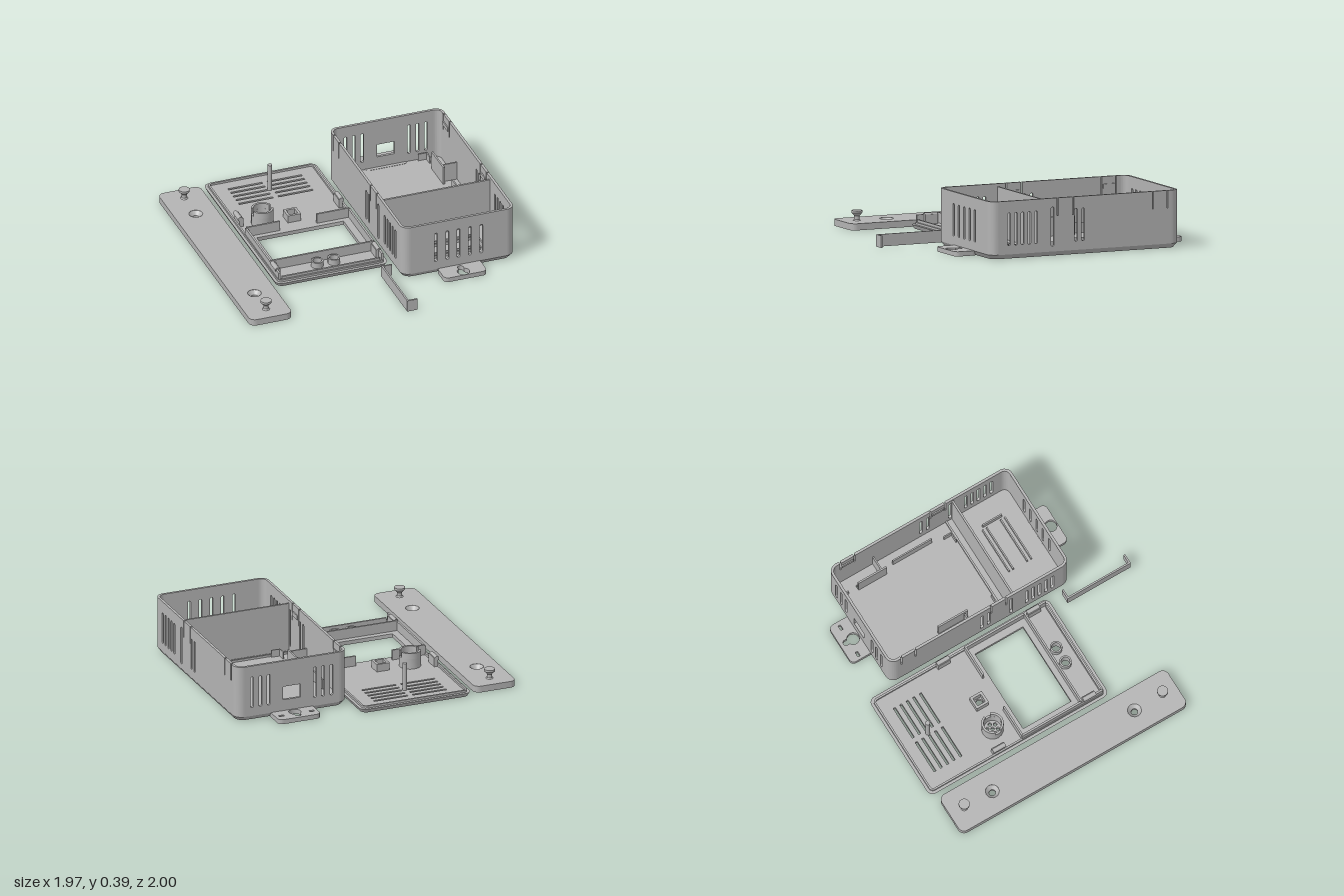
import * as THREE from 'three';
import { toCreasedNormals } from 'three/addons/utils/BufferGeometryUtils.js';

const grey = new THREE.MeshStandardMaterial({ color: 0xb3b3b3 });
grey.name = 'greyPlastic';

function add(group, name, geometry) {
  const mesh = new THREE.Mesh(geometry, grey);
  mesh.name = name;
  group.add(mesh);
  return mesh;
}

// Axis-aligned block given by its limits
function block(group, name, x0, x1, y0, y1, z0, z1) {
  const g = new THREE.BoxGeometry(x1 - x0, y1 - y0, z1 - z0);
  add(group, name, g.translate((x0 + x1) / 2, (y0 + y1) / 2, (z0 + z1) / 2));
}

// Rounded rectangle outline; works for shapes and holes
function rounded(a0, a1, b0, b1, r, Type = THREE.Shape) {
  const s = new Type();
  s.absarc(a1 - r, b0 + r, r, -Math.PI / 2, 0);
  s.absarc(a1 - r, b1 - r, r, 0, Math.PI / 2);
  s.absarc(a0 + r, b1 - r, r, Math.PI / 2, Math.PI);
  s.absarc(a0 + r, b0 + r, r, Math.PI, Math.PI * 1.5);
  s.closePath();
  return s;
}
const slotHole = (a0, a1, b0, b1, r = 0.003) => rounded(a0, a1, b0, b1, r, THREE.Path);
const roundHole = (x, z, r) => new THREE.Path().absarc(x, z, r, 0, Math.PI * 2);

// Round hole with a narrow neck towards -z
function keyhole(x, z, r, n, length) {
  const o = Math.asin(n / r);
  const p = new THREE.Path();
  p.absarc(x, z, r, -Math.PI / 2 + o, Math.PI * 1.5 - o);
  p.absarc(x, z - length, n, Math.PI, Math.PI * 2);
  p.closePath();
  return p;
}

// Plan outline (x, z) raised from y0 to y1
function slab(shape, y0, y1, holes = []) {
  shape.holes.push(...holes);
  const g = new THREE.ExtrudeGeometry(shape, { depth: y1 - y0, bevelEnabled: false, curveSegments: 8 });
  return g.rotateX(Math.PI / 2).translate(0, y1, 0);
}

// Draw in the lower outer edge of a slab
function chamferBottom(g, amount) {
  g.computeBoundingBox();
  const c = g.boundingBox.getCenter(new THREE.Vector3());
  const h = g.boundingBox.getSize(new THREE.Vector3()).multiplyScalar(0.5);
  const p = g.attributes.position;
  for (let i = 0; i < p.count; i++) {
    const dx = p.getX(i) - c.x, dz = p.getZ(i) - c.z;
    const outer = Math.abs(dx) > h.x - 0.07 && Math.abs(dz) > h.z - 0.07 ||
      Math.abs(dx) > h.x - 0.01 || Math.abs(dz) > h.z - 0.01;
    if (p.getY(i) < 0.002 && outer) {
      p.setX(i, c.x + dx * (1 - amount / h.x));
      p.setZ(i, c.z + dz * (1 - amount / h.z));
    }
  }
  g.computeVertexNormals();
  return g;
}
const smooth = (g) => toCreasedNormals(g, 0.6);

function lathe(points, x, z) {
  const g = new THREE.LatheGeometry(points.map((p) => new THREE.Vector2(...p)), 28);
  return smooth(g.translate(x, 0, z));
}

function arcShape(x, z, r0, r1, a0, a1) {
  const s = new THREE.Shape();
  s.absarc(x, z, r1, a0, a1);
  s.absarc(x, z, r0, a1, a0, true);
  s.closePath();
  return s;
}

function mountingBar() {
  const g = new THREE.Group();
  g.name = 'mountingBar';
  const x = -0.84, sinks = [-0.63, 0.48];
  add(g, 'barPlate', smooth(slab(rounded(-0.99, -0.69, -0.96, 0.81, 0.045), 0, 0.045,
    sinks.map((z) => roundHole(x, z, 0.047)))));
  for (const z of sinks) {
    add(g, 'countersink', lathe([[0.048, 0.045], [0.022, 0.018], [0.022, 0], [0.048, 0]], x, z));
  }
  for (const z of [-0.85, 0.7]) {
    add(g, 'hangingStud', lathe([[0.026, 0.044], [0.018, 0.053], [0.018, 0.077],
      [0.037, 0.098], [0.037, 0.113], [0, 0.113]], x, z));
  }
  return g;
}

function frontPanel() {
  const g = new THREE.Group();
  g.name = 'frontPanel';
  const cx = -0.25, top = 0.027;
  const mic = [-0.455, -0.395];
  const holes = [slotHole(-0.56, 0.06, -0.22, 0.155), roundHole(-0.25, -0.375, 0.025)];
  // Speaker grille
  for (const z of [-0.88, -0.83, -0.78, -0.73, -0.677]) {
    holes.push(slotHole(-0.515, -0.27, z - 0.008, z + 0.008), slotHole(-0.235, 0.012, z - 0.008, z + 0.008));
  }
  // Microphone holes
  holes.push(roundHole(...mic, 0.012));
  for (let i = 0; i < 6; i++) {
    const a = i * Math.PI / 3;
    holes.push(roundHole(mic[0] + 0.036 * Math.cos(a), mic[1] + 0.036 * Math.sin(a), 0.012));
  }
  const buttons = [-0.31, -0.19];
  for (const x of buttons) holes.push(roundHole(x, 0.262, 0.03));
  add(g, 'panelPlate', smooth(chamferBottom(slab(rounded(-0.65, 0.15, -1, 0.4, 0.045), 0, top, holes), 0.012)));
  add(g, 'panelRim', smooth(slab(rounded(-0.63, 0.13, -0.98, 0.38, 0.03), top, 0.042,
    [slotHole(-0.617, 0.117, -0.967, 0.367, 0.02)])));
  for (const x of buttons) {
    add(g, 'buttonCollar', smooth(slab(arcCircle(x, 0.262, 0.042), top, 0.068, [roundHole(x, 0.262, 0.03)])));
  }
  // Microphone cup with two raised jaws
  add(g, 'microphoneCup', smooth(slab(arcCircle(...mic, 0.075), top, 0.1, [roundHole(...mic, 0.06)])));
  for (const a of [0.3, Math.PI + 0.3]) {
    add(g, 'microphoneJaw', smooth(slab(arcShape(...mic, 0.06, 0.075, a, a + 2.5), 0.1, 0.14)));
  }
  add(g, 'sensorCollar', slab(rounded(-0.297, -0.203, -0.422, -0.328, 0.002), top, 0.08,
    [slotHole(-0.28, -0.22, -0.405, -0.345)]));
  add(g, 'post', new THREE.CylinderGeometry(0.016, 0.016, 0.2, 20).translate(-0.255, 0.12, -0.78));
  // Walls round the display
  block(g, 'displayWall', -0.617, -0.38, top, 0.098, -0.268, -0.255);
  block(g, 'displayWall', -0.117, 0.117, top, 0.098, -0.268, -0.255);
  block(g, 'lowerWall', -0.617, 0.117, top, 0.098, 0.195, 0.208);
  block(g, 'endWall', -0.6, 0.1, top, 0.06, 0.355, 0.368);
  for (const s of [-1, 1]) {
    const x = cx + s * 0.367;
    block(g, 'sideWall', x - 0.007, x + 0.007, top, 0.09, -0.268, 0.367);
    // Snap clips with a rounded bead
    for (const z of [-0.44, 0.265]) {
      const xc = cx + s * 0.355;
      block(g, 'snapClip', xc - 0.014, xc + 0.014, top, 0.09, z - 0.048, z + 0.048);
      add(g, 'snapBead', new THREE.CylinderGeometry(0.016, 0.016, 0.096, 14)
        .rotateX(Math.PI / 2).translate(cx + s * 0.362, 0.085, z));
    }
  }
  return g;
}
function arcCircle(x, z, r) {
  return new THREE.Shape().absarc(x, z, r, 0, Math.PI * 2);
}

// Upright panel outline with rim notches [from, to, bottom]
function wallShape(a0, a1, y0, y1, notches, holes) {
  const s = new THREE.Shape();
  s.moveTo(a0, y1);
  s.lineTo(a0, y0);
  s.lineTo(a1, y0);
  s.lineTo(a1, y1);
  for (const [n0, n1, b] of notches) {
    s.lineTo(n1, y1);
    s.lineTo(n1, b);
    s.lineTo(n0, b);
    s.lineTo(n0, y1);
  }
  s.closePath();
  s.holes.push(...holes);
  return s;
}

function housing() {
  const g = new THREE.Group();
  g.name = 'housing';
  const X0 = 0.175, X1 = 0.98, Z0 = -0.813, Z1 = 0.592, R = 0.06, T = 0.018, Y = 0.03, H = 0.39;
  const slit = (a, y0 = 0.09, y1 = 0.31) => slotHole(a - 0.011, a + 0.011, y0, y1, 0.01);
  const opts = { depth: T, bevelEnabled: false, curveSegments: 5 };
  add(g, 'floor', smooth(chamferBottom(slab(rounded(X0, X1, Z0, Z1, R), 0, Y,
    [slotHole(0.865, 0.887, -0.65, -0.48), slotHole(0.283, 0.305, -0.35, -0.16)]), 0.02)));
  // Vented end walls; the rear one has a cable opening
  const front = [0.413, 0.495, 0.575, 0.657, 0.737].map((x) => slit(x));
  const back = [0.29, 0.35, 0.41, 0.745, 0.805, 0.865].map((x) => slit(x));
  back.push(slotHole(0.515, 0.64, 0.11, 0.205));
  add(g, 'frontWall', new THREE.ExtrudeGeometry(wallShape(X0 + R, X1 - R, Y, H, [], front), opts).translate(0, 0, Z1 - T));
  add(g, 'backWall', new THREE.ExtrudeGeometry(wallShape(X0 + R, X1 - R, Y, H, [], back), opts).translate(0, 0, Z0));
  // Side walls with vents and snap fingers
  const notches = [0.094, -0.022, -0.614, -0.722].map((z) => [z - 0.005, z + 0.005, 0.27]);
  for (const x of [X0 + T, X1]) {
    const vents = [0.455, 0.405, 0.355, 0.305, 0.255, -0.042, -0.095].map((z) => slit(z));
    vents.push(slit(0.133, 0.065, 0.33));
    add(g, 'sideWall', new THREE.ExtrudeGeometry(wallShape(Z0 + R, Z1 - R, Y, H, notches, vents), opts)
      .rotateY(-Math.PI / 2).translate(x, 0, 0));
  }
  // Rounded corners
  [[X1 - R, Z1 - R], [X0 + R, Z1 - R], [X0 + R, Z0 + R], [X1 - R, Z0 + R]].forEach(([x, z], i) => {
    add(g, 'corner', smooth(slab(arcShape(x, z, R - T, R, i * Math.PI / 2, (i + 1) * Math.PI / 2), Y, H)));
  });
  block(g, 'divider', X0 + T, X1 - T, Y, 0.37, 0.146, 0.16);
  block(g, 'dividerFoot', X0 + T, X1 - T, Y, 0.045, 0.095, 0.108);
  // Hanging tabs with keyholes
  add(g, 'backTab', smooth(slab(rounded(0.425, 0.73, -0.96, -0.77, 0.035), 0, 0.032, [
    keyhole(0.575, -0.86, 0.042, 0.02, 0.055),
    slotHole(0.447, 0.483, -0.9, -0.882), slotHole(0.667, 0.703, -0.9, -0.882)])));
  add(g, 'frontTab', smooth(slab(rounded(0.425, 0.73, 0.572, 0.732, 0.035), 0, 0.032,
    [keyhole(0.575, 0.684, 0.042, 0.02, 0.056)])));
  // Catches on the snap fingers
  for (const z of [-0.67, 0.035]) {
    for (const x of [X0 + T, X1 - T]) block(g, 'catch', x - 0.008, x + 0.008, 0.31, 0.34, z - 0.045, z + 0.045);
  }
  // Circuit board corner guides
  for (const [x, sx] of [[0.285, 1], [0.865, -1]]) {
    for (const [z, sz] of [[-0.78, 1], [0.085, -1]]) {
      const xe = x + sx * 0.062, ze = z + sz * 0.062;
      block(g, 'boardGuide', Math.min(x, xe), Math.max(x, xe), Y, 0.08, z - 0.004, z + 0.004);
      block(g, 'boardGuide', x - 0.004, x + 0.004, Y, 0.08, Math.min(z, ze), Math.max(z, ze));
    }
  }
  // Cable guards and upright fins
  block(g, 'cableGuard', 0.85, 0.862, Y, 0.16, -0.65, -0.43);
  block(g, 'cableGuard', 0.85, X1 - T, Y, 0.16, -0.473, -0.462);
  block(g, 'cableGuard', 0.308, 0.32, Y, 0.16, -0.355, -0.125);
  block(g, 'cableGuard', X0 + T, 0.3, Y, 0.16, -0.16, -0.149);
  block(g, 'fin', 0.241, 0.251, Y, 0.1, -0.565, -0.385);
  block(g, 'fin', 0.885, 0.895, Y, 0.1, -0.36, -0.055);
  // Ribs of the small front chamber
  for (const z of [0.278, 0.31, 0.42, 0.452]) block(g, 'rib', 0.44, 0.785, Y, 0.05, z - 0.005, z + 0.005);
  block(g, 'ribStop', 0.8, 0.81, Y, 0.07, 0.29, 0.44);
  return g;
}

function strapClip() {
  const g = new THREE.Group();
  g.name = 'strapClip';
  block(g, 'clipBack', 0.057, 0.069, 0, 0.082, 0.502, 0.995);
  for (const z of [0.502, 0.983]) block(g, 'clipArm', 0.069, 0.13, 0, 0.082, z, z + 0.012);
  return g;
}

export function createModel() {
  const model = new THREE.Group();
  model.name = 'enclosureKit';
  model.add(mountingBar(), frontPanel(), housing(), strapClip());
  return model;
}
